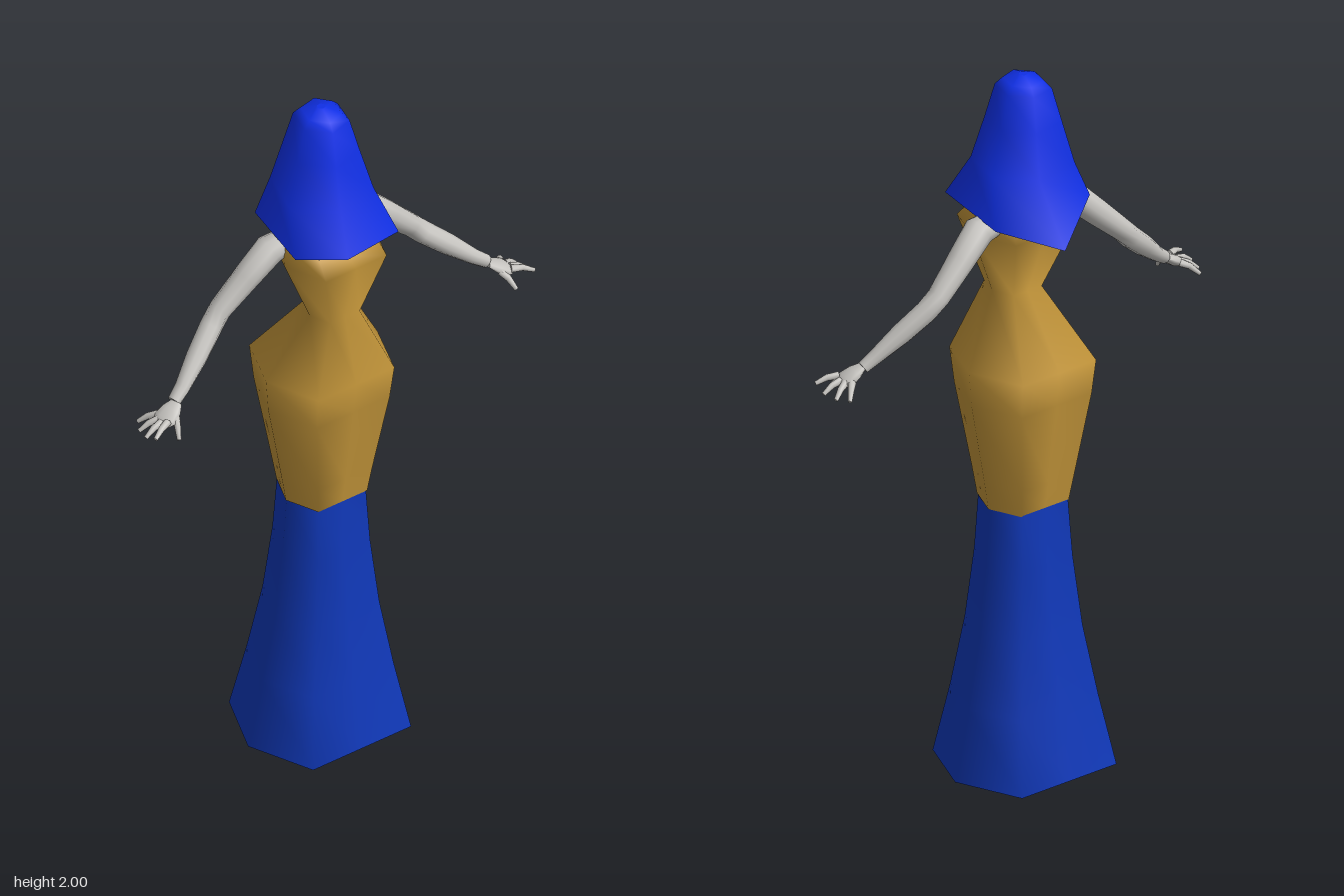
import * as THREE from 'three';

const mat = (name, color, side = THREE.FrontSide) => {
  const m = new THREE.MeshStandardMaterial({ color, side });
  m.name = name;
  return m;
};

// Skin of quads through closed rings of [x, y, z]; optional fan caps at both ends
function loft(rings, capStart = true, capEnd = true) {
  const n = rings[0].length, pos = rings.flat(2), idx = [];
  for (let r = 0; r < rings.length - 1; r++)
    for (let i = 0; i < n; i++) {
      const a = r * n + i, b = r * n + (i + 1) % n;
      idx.push(a, b, a + n, b, b + n, a + n);
    }
  const cap = (ring, flip) => {
    const base = pos.length / 3;
    const c = [0, 1, 2].map(k => ring.reduce((s, p) => s + p[k], 0) / n);
    pos.push(...ring.flat(), ...c);
    for (let i = 0; i < n; i++) {
      const a = base + i, b = base + (i + 1) % n;
      idx.push(...(flip ? [b, a, base + n] : [a, b, base + n]));
    }
  };
  if (capStart) cap(rings[0], true);
  if (capEnd) cap(rings[rings.length - 1], false);
  const g = new THREE.BufferGeometry();
  g.setAttribute('position', new THREE.Float32BufferAttribute(pos, 3));
  g.setIndex(idx);
  g.computeVertexNormals();
  return g;
}

// Six-cornered section with points on the z axis and flat sides at x0 and x1;
// side, corner and point heights may differ
function section(y, x0, x1, z, [ySide, yCorner, yPoint] = [y, y, y]) {
  const m = (x0 + x1) / 2, c = z * 0.68;
  return [
    [x1, ySide, 0], [x1, yCorner, -c], [m, yPoint, -z], [x0, y, -c],
    [x0, y, 0], [x0, y, c], [m, yPoint, z], [x1, yCorner, c],
  ];
}

// Round limb through points [x, y, z, radius]
function limb(points, sides = 10) {
  const P = points.map(p => new THREE.Vector3(p[0], p[1], p[2]));
  const rings = P.map((p, i) => {
    const t = P[Math.min(i + 1, P.length - 1)].clone().sub(P[Math.max(i - 1, 0)]).normalize();
    const u = new THREE.Vector3(0, 1, 0).cross(t).normalize();
    const v = t.clone().cross(u);
    return Array.from({ length: sides }, (_, k) => {
      const a = k / sides * Math.PI * 2;
      return p.clone().addScaledVector(u, Math.cos(a) * points[i][3])
        .addScaledVector(v, Math.sin(a) * points[i][3]).toArray();
    });
  });
  return loft(rings);
}

export function createModel() {
  const group = new THREE.Group();
  const skirtBlue = mat('skirtBlue', 0x1038b8);
  const scarfBlue = mat('scarfBlue', 0x1030e8, THREE.DoubleSide);
  const gold = mat('gold', 0xc4963a, THREE.DoubleSide);
  const skin = mat('skin', 0xc6c4c0);
  const add = (name, geometry, material, parent = group) => {
    const m = new THREE.Mesh(geometry, material);
    m.name = name;
    parent.add(m);
    return m;
  };

  // Flared skirt
  add('skirt', loft([
    section(0, -0.18, 0.19, 0.235),
    section(0.2, -0.142, 0.155, 0.19),
    section(0.4, -0.11, 0.128, 0.15),
    section(0.6, -0.09, 0.11, 0.125),
    section(0.77, -0.08, 0.102, 0.113),
  ]), skirtBlue);

  // Fitted dress with dipping neckline
  add('dress', loft([
    section(0.76, -0.08, 0.105, 0.117),
    section(0.84, -0.093, 0.116, 0.13),
    section(1.08, -0.128, 0.152, 0.174),
    section(1.18, -0.14, 0.165, 0.182),
    section(1.37, -0.008, 0.115, 0.07),
    section(1.56, -0.08, 0.165, 0.145),
    section(1.62, -0.06, 0.125, 0.135, [1.575, 1.605, 1.62]),
  ], true, false), gold);

  // Shoulders and neck, with the head hidden under the scarf
  add('shoulders', loft([
    section(1.54, -0.07, 0.14, 0.125),
    section(1.6, -0.05, 0.115, 0.13),
    section(1.635, -0.045, 0.06, 0.14),
    section(1.66, -0.035, 0.045, 0.05),
    section(1.74, -0.035, 0.045, 0.04),
  ]), skin);
  const head = add('head', new THREE.SphereGeometry(1, 16, 12), skin);
  head.scale.set(0.07, 0.1, 0.07);
  head.position.set(0.01, 1.82, 0);

  // Head scarf: uneven hem, wide shoulder ring, small crown
  const hem = [
    [0.195, 1.63, 0.05], [0.175, 1.63, -0.13], [-0.09, 1.63, -0.175],
    [-0.2, 1.57, -0.03], [-0.1, 1.645, 0.135], [0.12, 1.635, 0.165],
  ];
  const ring = (y, rx, rz, cx) => [0.3, 1.3, 2.3, 3.2, 4.25, 5.3].map(k => {
    const a = (k - 0.55) * Math.PI / 3;
    return [cx + rx * Math.cos(a), y, -rz * Math.sin(a)];
  });
  add('headScarf', loft([
    hem,
    ring(1.75, 0.138, 0.137, 0.012),
    ring(1.87, 0.105, 0.1, 0.01),
    ring(1.965, 0.08, 0.072, 0.01),
    ring(1.985, 0.06, 0.052, 0.01),
    ring(2.0, 0.012, 0.012, 0.01),
  ], false, true), scarfBlue);

  // Arms with spread fingers, mirrored front to back
  for (const s of [1, -1]) {
    const arm = new THREE.Group();
    arm.name = s > 0 ? 'frontArm' : 'backArm';
    group.add(arm);
    const z = pts => pts.map(([x, y, d, r]) => [x, y, d * s, r]);
    add('arm', limb(z([
      [0.0, 1.605, 0.09, 0.035], [-0.002, 1.595, 0.16, 0.042], [-0.01, 1.53, 0.23, 0.037],
      [-0.018, 1.455, 0.31, 0.031], [-0.01, 1.42, 0.345, 0.031], [0.015, 1.365, 0.41, 0.029],
      [0.04, 1.31, 0.475, 0.021], [0.05, 1.285, 0.51, 0.018],
    ])), skin, arm);

    // Palm: a flattened limb
    const palm = limb([[0, 0, -0.035, 0.018], [0, 0, -0.01, 0.031], [0, 0, 0.02, 0.037], [0, 0, 0.037, 0.025]]);
    palm.scale(1, 0.42, 1);
    const palmMesh = add('palm', palm, skin, arm);
    palmMesh.position.set(0.064, 1.267, 0.536 * s);
    palmMesh.lookAt(0.075, 1.24, 0.58 * s);

    // Four fingers and a thumb, from knuckle to tip
    const fingers = [
      [[0.04, 1.258, 0.555], [0.003, 1.228, 0.593]],
      [[0.055, 1.255, 0.565], [0.036, 1.226, 0.613]],
      [[0.073, 1.256, 0.567], [0.077, 1.231, 0.622]],
      [[0.09, 1.262, 0.56], [0.115, 1.247, 0.618]],
      [[0.085, 1.264, 0.53], [0.127, 1.222, 0.55]],
    ];
    fingers.forEach(([a, b], i) => {
      const mid = a.map((v, k) => (v + b[k]) / 2);
      mid[1] += 0.006;
      add(i < 4 ? 'finger' : 'thumb',
        limb(z([[...a, 0.011], [...mid, 0.009], [...b, 0.006]]), 7), skin, arm);
    });
  }
  return group;
}
